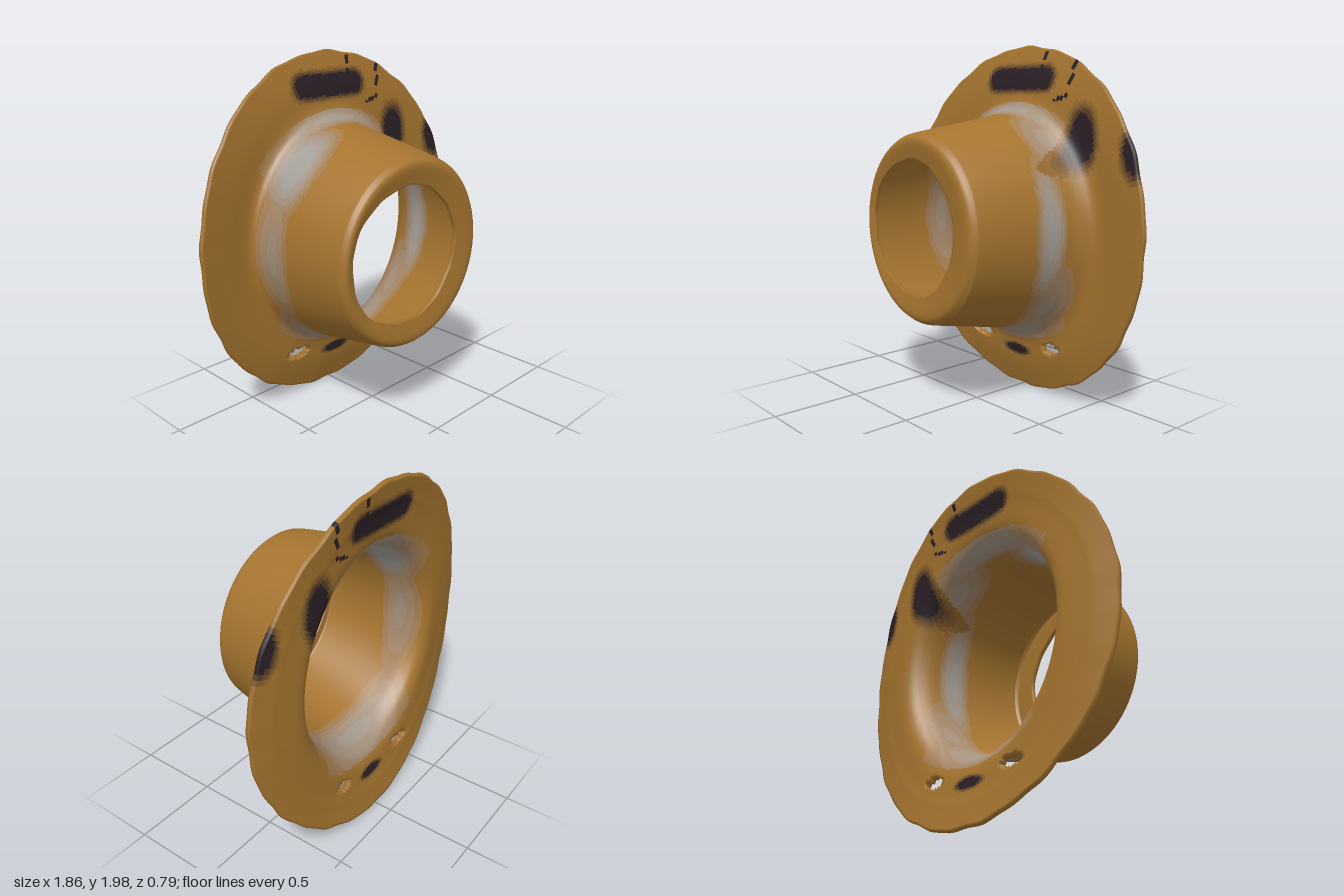
import * as THREE from 'three';

// Cross-section loops from the flange rim to the front opening:
// [rx, ry, z, centreX, centreY, saddle (z drop at top and bottom)]
const LOOPS = [
  [0.925, 0.99, -0.265, 0, 1, 0.11],
  [0.77, 0.84, -0.285, 0, 1, 0.045],
  [0.615, 0.69, -0.3, 0, 1, 0],
  [0.56, 0.63, -0.24, -0.015, 1, 0],
  [0.54, 0.6, -0.13, -0.03, 1, 0],
  [0.53, 0.57, 0.02, -0.04, 1.005, 0],
  [0.5, 0.52, 0.3, -0.06, 1.01, 0],
  [0.487, 0.502, 0.355, -0.068, 1.01, 0],
  [0.45, 0.465, 0.378, -0.08, 1.012, 0],
  [0.37, 0.366, 0.365, -0.118, 1.015, 0],
];
const PER_SPAN = 12, AROUND = 220;
const RINGS = (LOOPS.length - 1) * PER_SPAN;

const curve = (k) => new THREE.CatmullRomCurve3(
  LOOPS.map((l) => new THREE.Vector3(l[k], l[k + 1], l[k + 2])), false, 'catmullrom', 0.5);

// Points of the outer skin
function outerSkin() {
  const size = curve(0), centre = curve(3), out = [];
  for (let i = 0; i <= RINGS; i++) {
    const t = i / RINGS, s = size.getPoint(t), c = centre.getPoint(t);
    const rim = Math.max(0, 1 - i / (2 * PER_SPAN));
    const lip = Math.max(0, (i / RINGS - 0.9) * 10);
    for (let j = 0; j < AROUND; j++) {
      const a = (j / AROUND) * Math.PI * 2;
      // Slightly uneven rim and opening
      const wob = 1 + 0.003 * rim * (Math.sin(a * 17) + Math.sin(a * 29 + 1))
        + 0.012 * lip * (Math.sin(a * 5 + 1) + 0.5 * Math.sin(a * 13));
      const x = c.x + s.x * Math.cos(a) * wob;
      const y = c.y + s.y * Math.sin(a) * wob;
      const tilt = 0.045 * x * THREE.MathUtils.smoothstep(s.z, 0, 0.35);
      out.push(new THREE.Vector3(x, y, s.z - c.z * Math.sin(a) ** 2 + tilt));
    }
  }
  return out;
}

const ellipse = (p, x, y, rx, ry) => Math.hypot((p.x - x) / rx, (p.y - y) / ry);
const soft = (d, edge = 0.35) => 1 - THREE.MathUtils.smoothstep(d, 1 - edge, 1 + edge);

// Two slots low on the flange
const isSlot = (p) => p.z < -0.2
  && Math.min(ellipse(p, -0.29, 0.29, 0.075, 0.03), ellipse(p, 0.27, 0.295, 0.065, 0.03)) < 1;

// Scorched patches and cracks, 0 to 1
const CRACKS = [
  [[0.39, 1.91], [0.38, 1.8], [0.35, 1.71], [0.27, 1.69]],
  [[0.16, 1.96], [0.17, 1.89], [0.13, 1.86]],
];
function darkness(p) {
  if (p.z > 0) return 0;
  const bar = Math.hypot(Math.max(0, Math.abs(p.x) - 0.19), p.y - 1.81) / 0.075;
  let d = Math.max(soft(bar), soft(ellipse(p, 0.485, 1.49, 0.1, 0.17)),
    soft(ellipse(p, 0, 0.24, 0.1, 0.035)));
  if (p.z < -0.2) d = Math.max(d, soft(ellipse(p, 0.85, 1.44, 0.1, 0.15)));
  const q = new THREE.Vector3(p.x, p.y, 0), near = new THREE.Vector3();
  for (const path of CRACKS) {
    for (let k = 1; k < path.length; k++) {
      new THREE.Line3(new THREE.Vector3(...path[k - 1], 0), new THREE.Vector3(...path[k], 0))
        .closestPointToPoint(q, true, near);
      if (near.distanceTo(q) < 0.008) d = 1;
    }
  }
  return d;
}

// Worn pale band around the foot of the tube, 0 to 1
function paleness(p) {
  const a = Math.atan2(p.y - 1, p.x + 0.03);
  const patch = (at, width, z, depth, amount) => {
    const da = Math.atan2(Math.sin(a - at), Math.cos(a - at));
    return amount * soft(Math.hypot(da / width, (p.z - z) / depth), 0.6);
  };
  if (Math.hypot(p.x, p.y - 1) > 0.68) return 0;
  return Math.max(
    patch(0, 0.62, -0.08, 0.07, 0.9),
    patch(2.25, 0.4, -0.15, 0.12, 1),
    patch(1.57, 0.6, -0.26, 0.05, 0.7),
    patch(0.95, 0.35, -0.2, 0.1, 0.5),
    patch(-1.57, 0.7, -0.2, 0.11, 0.7),
    patch(-0.8, 0.4, -0.17, 0.09, 0.5),
    patch(3.14, 0.6, -0.17, 0.09, 0.5));
}

export function createModel() {
  const group = new THREE.Group();
  group.name = 'flangedCollar';
  const outer = outerSkin();
  const count = outer.length;
  const id = (i, j) => i * AROUND + ((j + AROUND) % AROUND);

  // Normals of the outer skin give the direction for the wall thickness
  const skin = new THREE.BufferGeometry().setFromPoints(outer);
  const skinIndex = [];
  for (let i = 0; i < RINGS; i++) {
    for (let j = 0; j < AROUND; j++) {
      const [a, b, c, d] = [id(i, j), id(i, j + 1), id(i + 1, j + 1), id(i + 1, j)];
      skinIndex.push(a, b, c, a, c, d);
    }
  }
  skin.setIndex(skinIndex);
  skin.computeVertexNormals();
  const normal = new THREE.Vector3();
  const inner = outer.map((p, k) => {
    normal.fromBufferAttribute(skin.attributes.normal, k);
    const ring = Math.floor(k / AROUND);
    const thick = 0.02 + 0.015 * Math.min(1, ring / 10, (RINGS - ring) / 8);
    return p.clone().addScaledVector(normal, -thick);
  });

  // Sort the cells into tones; -1 is a slot
  const STEPS = 5;
  const cellTone = [];
  for (let i = 0; i < RINGS; i++) {
    for (let j = 0; j < AROUND; j++) {
      const mid = outer[id(i, j)].clone().lerp(outer[id(i + 1, j + 1)], 0.5);
      const dark = Math.round(darkness(mid) * STEPS);
      const pale = Math.round(paleness(mid) * STEPS);
      cellTone.push(isSlot(mid) ? -1 : dark > 0 ? STEPS + dark : pale);
    }
  }
  const missing = (i, j) => i < 0 || i >= RINGS || cellTone[id(i, j)] < 0;

  // Outer face, inner face and a wall along every open edge
  const faces = Array.from({ length: 2 * STEPS + 1 }, () => []);
  for (let i = 0; i < RINGS; i++) {
    for (let j = 0; j < AROUND; j++) {
      if (missing(i, j)) continue;
      const list = faces[cellTone[id(i, j)]];
      const q = [id(i, j), id(i, j + 1), id(i + 1, j + 1), id(i + 1, j)];
      const [a, b, c, d] = q, n = count;
      list.push(a, b, c, a, c, d, a + n, c + n, b + n, a + n, d + n, c + n);
      [[i - 1, j], [i, j + 1], [i + 1, j], [i, j - 1]].forEach(([ni, nj], k) => {
        if (!missing(ni, nj)) return;
        const p = q[k], r = q[(k + 1) % 4];
        list.push(p + n, r + n, r, p + n, r, p);
      });
    }
  }
  const whole = new THREE.BufferGeometry().setFromPoints([...outer, ...inner]);
  whole.setIndex(faces.flat());
  whole.computeVertexNormals();

  // One mesh per tone, sharing points and smooth normals
  const tan = new THREE.Color(0xa5742f);
  const pale = new THREE.Color(0xa39f98), dark = new THREE.Color(0x2a2026);
  faces.forEach((list, tone) => {
    if (!list.length) return;
    const geometry = new THREE.BufferGeometry();
    geometry.setAttribute('position', whole.attributes.position);
    geometry.setAttribute('normal', whole.attributes.normal);
    geometry.setIndex(list);
    const scorched = tone > STEPS;
    const color = tan.clone().lerp(scorched ? dark : pale, (scorched ? tone - STEPS : tone) / STEPS);
    const mesh = new THREE.Mesh(geometry,
      new THREE.MeshStandardMaterial({ color, side: THREE.DoubleSide }));
    mesh.name = tone === 0 ? 'flangeAndTube' : scorched ? `scorchMark${tone - STEPS}` : `wornBand${tone}`;
    group.add(mesh);
  });
  return group;
}
